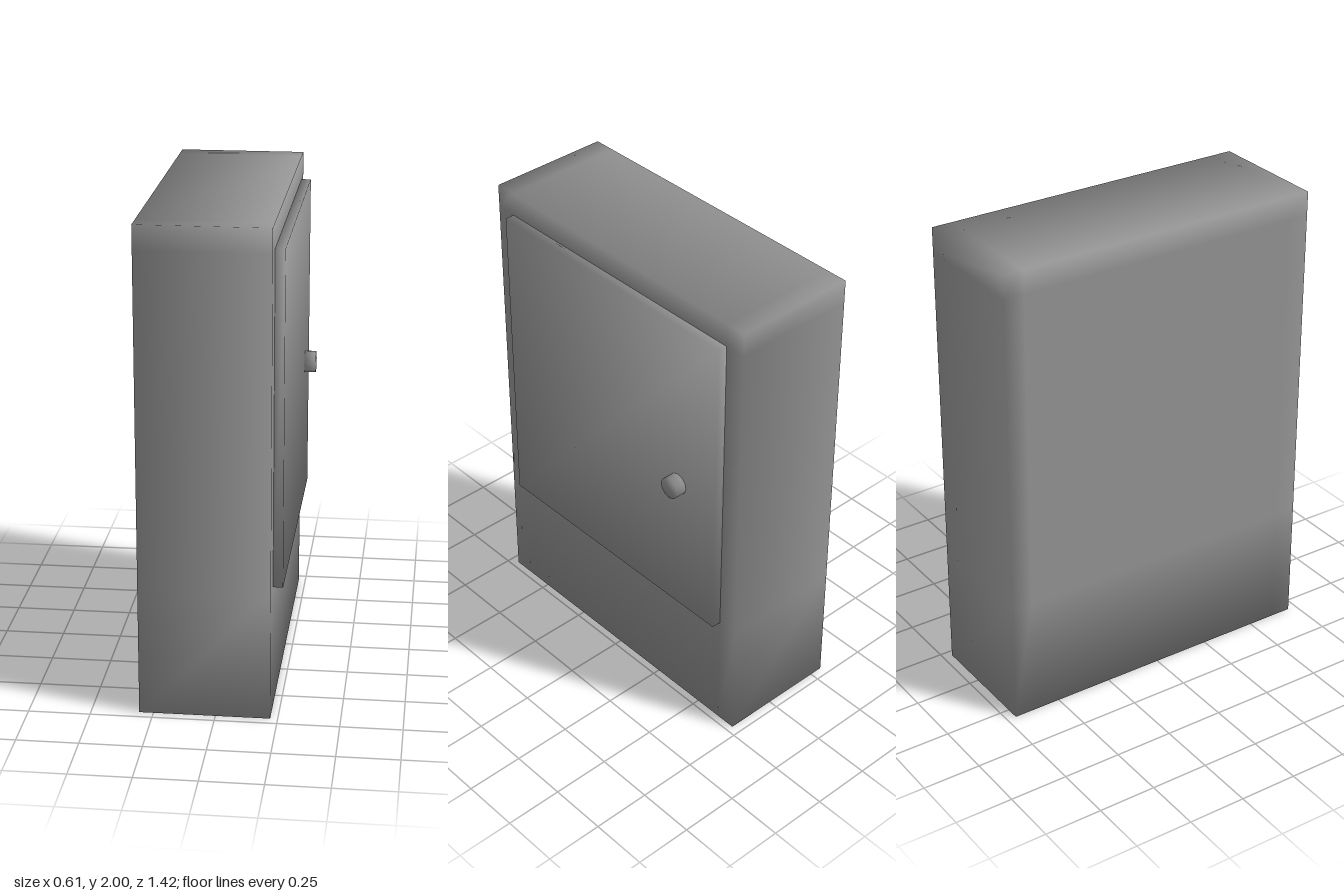
import * as THREE from 'three';

// Box whose grid lines sit at the given coordinates on each axis.
// Normals blend evenly across the outer edges and corners.
function softBox(...axes) {
  const n = axes.map((a) => a.length - 1);
  const g = new THREE.BoxGeometry(...n, ...n);
  const { position, normal } = g.attributes;
  const dir = new THREE.Vector3();
  for (let i = 0; i < position.count; i++) {
    axes.forEach((coords, k) => {
      const step = Math.round(position.getComponent(i, k) + n[k] / 2);
      position.setComponent(i, k, coords[step]);
      dir.setComponent(k, step === 0 ? -1 : step === n[k] ? 1 : 0);
    });
    dir.normalize();
    normal.setXYZ(i, dir.x, dir.y, dir.z);
  }
  return g;
}

// Cylinder with normals blended over both rims
function softCylinder(radius, length, sides) {
  const g = new THREE.CylinderGeometry(radius, radius, length, sides);
  const { position, normal } = g.attributes;
  const dir = new THREE.Vector3();
  for (let i = 0; i < position.count; i++) {
    dir.set(position.getX(i) / radius, Math.sign(position.getY(i)), position.getZ(i) / radius).normalize();
    normal.setXYZ(i, dir.x, dir.y, dir.z);
  }
  return g;
}

export function createModel() {
  const model = new THREE.Group();
  model.name = 'cabinet';
  const material = new THREE.MeshStandardMaterial({ color: 0x949494 });
  const add = (name, geometry) => {
    const mesh = new THREE.Mesh(geometry, material);
    mesh.name = name;
    model.add(mesh);
    return mesh;
  };

  const back = -0.307, face = 0.22, doorFace = 0.26, knobEnd = 0.307;
  const doorY = [0.53, 1.9], doorZ = [-0.62, 0.62];

  // Cabinet body, with edge loops in line with the door
  add('body', softBox([back, face], [0, ...doorY, 2], [-0.71, ...doorZ, 0.71]));

  // Raised door panel on the +x side
  add('door', softBox([face, doorFace], doorY, doorZ));

  // Round door knob
  const length = knobEnd - doorFace;
  const knob = add('knob', softCylinder(0.047, length, 12));
  knob.rotation.z = -Math.PI / 2;
  knob.position.set(knobEnd - length / 2, 1.15, -0.405);

  return model;
}
